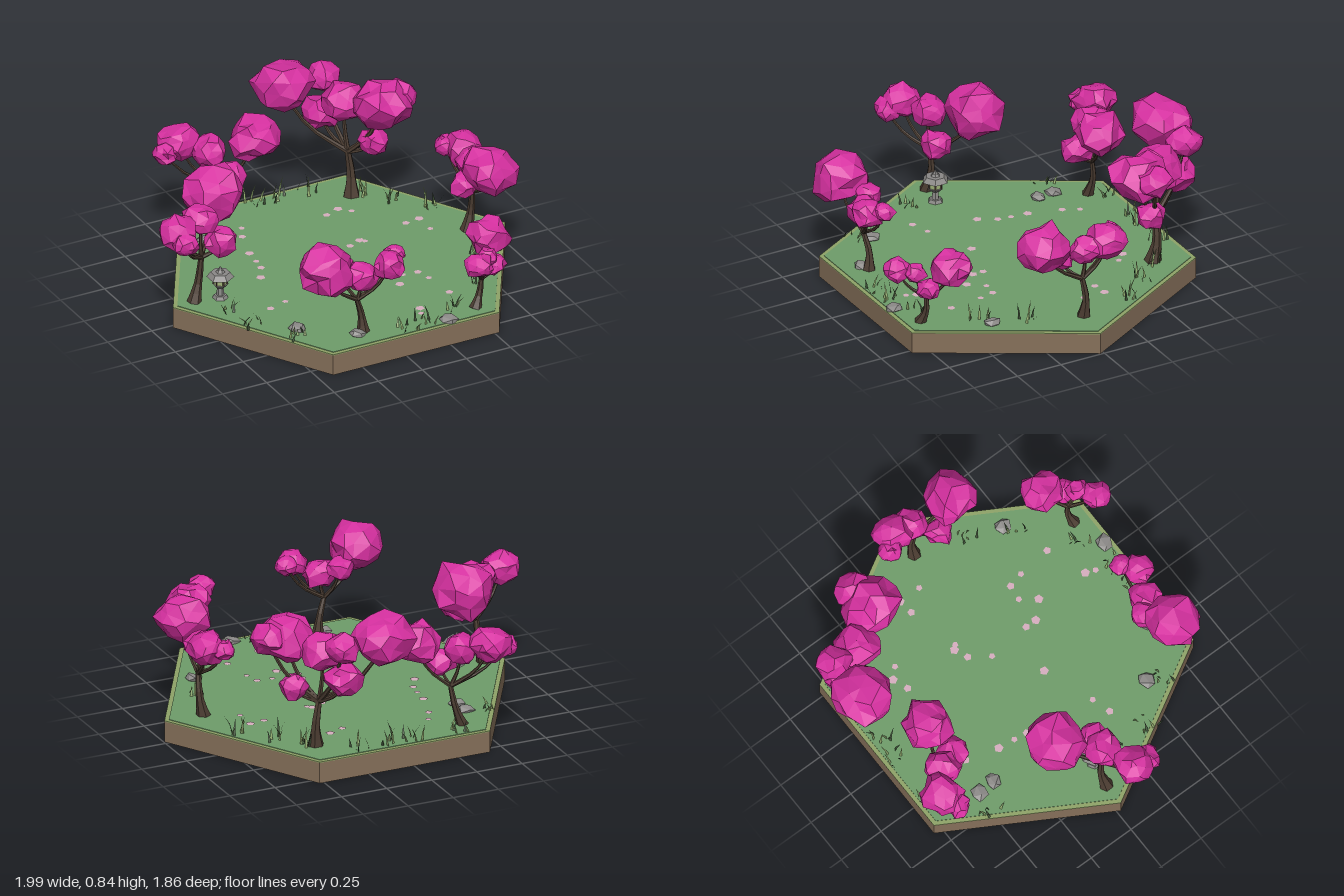
import * as THREE from 'three';

const paint = (name, color, extra = {}) => {
  const m = new THREE.MeshStandardMaterial({ color, ...extra });
  m.name = name;
  return m;
};
const flat = { flatShading: true };
const blossom = paint('magenta blossom', 0xd630a0, flat);
const bark = paint('dark bark', 0x4c3d32, flat);
const soil = paint('brown soil', 0x86705a, flat);
const turf = paint('green turf', 0x6f9d6a, flat);
const rimGreen = paint('olive rim', 0x8fa468, flat);
const stone = paint('grey stone', 0x8c8a88, flat);
const petalPink = paint('pale pink petal', 0xd8afc0, { side: THREE.DoubleSide });
const bladeLight = paint('light grass', 0x8fa86c, { side: THREE.DoubleSide });
const bladeDark = paint('dark grass', 0x44583c, { side: THREE.DoubleSide });
const lampGreen = paint('lantern green', 0x9fb277, flat);

const GROUND = 0.118;
const V = (x, y, z) => new THREE.Vector3(x, y, z);

// Small seeded random generator
function seeded(seed) {
  return () => {
    seed = (seed * 16807) % 2147483647;
    return seed / 2147483647;
  };
}

function add(parent, name, geometry, material, x = 0, y = 0, z = 0) {
  const mesh = new THREE.Mesh(geometry, material);
  mesh.name = name;
  mesh.position.set(x, y, z);
  parent.add(mesh);
  return mesh;
}

// Faceted lump: an icosphere whose corners are pushed in and out
function lump(seed, detail, amount) {
  const geometry = new THREE.IcosahedronGeometry(1, detail);
  const p = geometry.attributes.position;
  const rand = seeded(seed * 7919 + 13);
  const known = new Map();
  for (let i = 0; i < p.count; i++) {
    const v = V(0, 0, 0).fromBufferAttribute(p, i);
    const key = v.toArray().map((n) => Math.round(n * 100)).join();
    if (!known.has(key)) {
      const shift = V(rand() - 0.5, rand() - 0.5, rand() - 0.5).multiplyScalar(amount);
      known.set(key, v.clone().multiplyScalar(1 + (rand() - 0.5) * amount * 0.5).add(shift));
    }
    p.setXYZ(i, ...known.get(key).toArray());
  }
  geometry.computeVertexNormals();
  return geometry;
}

// Tapered limb: a tube whose rings shrink along the curve
function limb(points, r0, r1, flare = 0) {
  const rings = 5, sides = 6;
  const curve = new THREE.CatmullRomCurve3(points);
  const geometry = new THREE.TubeGeometry(curve, rings, 1, sides, false);
  const p = geometry.attributes.position;
  for (let i = 0; i < p.count; i++) {
    const t = Math.floor(i / (sides + 1)) / rings;
    const r = r0 + (r1 - r0) * t + flare * Math.max(0, 1 - t * 3);
    const c = curve.getPointAt(t);
    const v = V(0, 0, 0).fromBufferAttribute(p, i).sub(c).multiplyScalar(r).add(c);
    p.setXYZ(i, v.x, Math.max(v.y, 0.112), v.z);
  }
  geometry.computeVertexNormals();
  return geometry;
}

// Tree: leaning trunk, forked branches and one blossom lump per branch end
function tree(name, base, fork, radius, lumps, seed) {
  const group = new THREE.Group();
  group.name = name;
  const foot = V(base[0], 0.113, base[1]);
  const top = V(...fork);
  const bend = foot.clone().lerp(top, 0.5).add(V(0.012, 0, -0.01));
  add(group, 'trunk', limb([foot, bend, top], radius, radius * 0.55, radius * 0.5), bark);
  lumps.forEach(([x, y, z, r], i) => {
    const end = V(x, y - r * 0.3, z);
    const knee = V(top.x + (x - top.x) * 0.6, top.y + (end.y - top.y) * 0.42, top.z + (z - top.z) * 0.6);
    add(group, 'branch', limb([top, knee, end], radius * 0.5, radius * 0.25), bark);
    const crown = add(group, 'blossom', lump(seed + i, 1, 0.3), blossom, x, y, z);
    crown.scale.set(r, r * 0.88, r);
    crown.rotation.y = i * 1.3 + seed;
  });
  return group;
}

// Hexagonal slab with corners on the x axis
function slab(group, name, r, y0, y1, material) {
  const g = new THREE.CylinderGeometry(r, r, y1 - y0, 6).rotateY(Math.PI / 2);
  return add(group, name, g, material, 0.053, (y0 + y1) / 2, 0.02);
}

function lantern() {
  const group = new THREE.Group();
  group.name = 'lantern';
  const parts = [
    // name, top radius, bottom radius, from, to, sides, material
    ['foot', 0.032, 0.042, 0, 0.02, 6, stone],
    ['post', 0.016, 0.02, 0.02, 0.065, 6, stone],
    ['tray', 0.042, 0.026, 0.065, 0.083, 6, stone],
    ['lightBox', 0.034, 0.034, 0.083, 0.122, 6, lampGreen],
    ['roof', 0.05, 0.07, 0.122, 0.148, 6, stone],
    ['roofTop', 0.016, 0.024, 0.148, 0.16, 6, stone],
    ['finial', 0.004, 0.013, 0.16, 0.178, 6, stone],
  ];
  for (const [name, rt, rb, a, b, sides, mat] of parts) {
    add(group, name, new THREE.CylinderGeometry(rt, rb, b - a, sides), mat, 0, (a + b) / 2, 0);
  }
  for (let i = 0; i < 6; i++) {
    const a = (i * Math.PI) / 3;
    add(group, 'lightBoxPost', new THREE.BoxGeometry(0.007, 0.039, 0.007), bark,
      Math.sin(a) * 0.034, 0.1025, Math.cos(a) * 0.034);
  }
  group.position.set(-0.635, GROUND - 0.003, 0.045);
  return group;
}

// Bent, tapering grass blade
function blade(height, lean) {
  const w = 0.007;
  const g = new THREE.BufferGeometry();
  g.setAttribute('position', new THREE.Float32BufferAttribute(
    [-w, 0, 0, w, 0, 0, -w * 0.7, height * 0.5, lean * 0.3, w * 0.7, height * 0.5, lean * 0.3, 0, height, lean], 3));
  g.setIndex([0, 1, 2, 1, 3, 2, 2, 3, 4]);
  g.computeVertexNormals();
  return g;
}

export function createModel() {
  const model = new THREE.Group();
  model.name = 'hexagonal blossom garden';

  // Ground
  slab(model, 'soilBase', 0.943, 0, 0.11, soil);
  slab(model, 'grassRim', 0.943, 0.11, 0.115, rimGreen);
  slab(model, 'lawn', 0.918, 0.112, GROUND, turf);

  // Trees: base x z, fork, trunk radius, lumps as x y z radius
  model.add(
    tree('backLeftTree', [-0.33, -0.66], [-0.27, 0.33, -0.65], 0.022, [
      [-0.44, 0.57, -0.76, 0.105], [-0.53, 0.54, -0.73, 0.065], [-0.32, 0.53, -0.67, 0.09],
      [-0.26, 0.43, -0.55, 0.08], [-0.1, 0.58, -0.6, 0.125]], 11),
    tree('backRightTree', [0.45, -0.59], [0.44, 0.36, -0.61], 0.03, [
      [0.17, 0.72, -0.8, 0.15], [0.4, 0.71, -0.8, 0.09], [0.37, 0.53, -0.77, 0.095],
      [0.43, 0.64, -0.64, 0.115], [0.55, 0.67, -0.46, 0.145], [0.66, 0.69, -0.48, 0.09],
      [0.54, 0.43, -0.53, 0.075]], 23),
    tree('leftTree', [-0.77, 0.02], [-0.73, 0.36, 0.02], 0.025, [
      [-0.57, 0.61, -0.15, 0.155], [-0.63, 0.44, 0.04, 0.085], [-0.74, 0.58, 0.03, 0.09],
      [-0.9, 0.585, 0.09, 0.098], [-0.9, 0.55, 0.17, 0.07]], 37),
    tree('rightTree', [0.79, 0], [0.81, 0.34, 0.02], 0.025, [
      [0.8, 0.56, 0.23, 0.138], [0.83, 0.53, -0.11, 0.1], [0.76, 0.53, -0.17, 0.06],
      [0.81, 0.5, 0, 0.08], [0.72, 0.44, 0.1, 0.07]], 41),
    tree('frontLeftTree', [-0.17, 0.69], [-0.21, 0.31, 0.7], 0.023, [
      [-0.4, 0.545, 0.73, 0.14], [-0.27, 0.48, 0.64, 0.07], [-0.19, 0.44, 0.71, 0.085],
      [-0.06, 0.5, 0.76, 0.08], [0, 0.52, 0.7, 0.055]], 53),
    tree('frontRightTree', [0.44, 0.74], [0.48, 0.27, 0.73], 0.022, [
      [0.57, 0.45, 0.64, 0.105], [0.54, 0.345, 0.75, 0.06], [0.4, 0.42, 0.85, 0.07],
      [0.48, 0.42, 0.79, 0.055]], 67));

  model.add(lantern());

  // Rocks
  [[-0.42, -0.51, 0.046], [-0.41, -0.42, 0.044], [-0.45, 0.52, 0.046], [0.64, 0.44, 0.044],
    [0.26, 0.79, 0.046], [-0.21, 0.71, 0.045]].forEach(([x, z, r], i) => {
    add(model, 'rock', lump(80 + i, 0, 0.3), stone, x, GROUND + 0.006, z).scale.set(r, 0.022, r);
  });

  // Fallen petals
  const petal = new THREE.CircleGeometry(0.021, 5).rotateX(-Math.PI / 2);
  [[-0.2, -0.54], [-0.24, -0.46], [-0.29, -0.29], [-0.3, -0.2], [-0.31, -0.13], [-0.36, -0.04],
    [-0.37, 0.24], [-0.47, 0.27], [-0.1, 0.14], [0.12, -0.02], [0.19, -0.12], [0.26, -0.15],
    [0.28, -0.13], [0.24, -0.46], [0.32, -0.49], [0.37, -0.44], [0.55, -0.2], [0.63, -0.21],
    [0.63, -0.09], [0.14, 0.21], [0.14, 0.27], [0.28, 0.27], [0.36, 0.28], [0.22, 0.35],
    [0.38, 0.36], [0.4, 0.54], [0.19, 0.62], [0.17, 0.67]].forEach(([x, z], i) => {
    const p = add(model, 'petal', petal, petalPink, x, GROUND + 0.003, z);
    p.rotation.y = i * 2.1;
    p.scale.setScalar(0.8 + (i % 3) * 0.18);
  });

  // Grass clumps along the edge: x, z, blade height
  const rand = seeded(4711);
  [[-0.27, -0.74, 0.07], [-0.02, -0.73, 0.09], [0.1, -0.74, 0.1], [0.28, -0.72, 0.1], [0.54, -0.58, 0.1],
    [0.62, -0.43, 0.11], [0.72, -0.28, 0.1], [0.72, 0.27, 0.1], [0.6, 0.48, 0.08], [0.34, 0.7, 0.07],
    [0.15, 0.76, 0.08], [0.05, 0.77, 0.07], [-0.48, 0.6, 0.06], [-0.62, 0.38, 0.07],
    [-0.67, 0.2, 0.06], [-0.52, -0.52, 0.05]].forEach(([x, z, h]) => {
    for (let i = 0; i < 6; i++) {
      const b = add(model, 'grassBlade', blade(h * (0.5 + rand() * 0.6), 0.01 + rand() * 0.035),
        i % 3 ? bladeLight : bladeDark,
        x + (rand() - 0.5) * 0.11, GROUND - 0.002, z + (rand() - 0.5) * 0.09);
      b.rotation.y = rand() * Math.PI * 2;
    }
  });
  return model;
}
